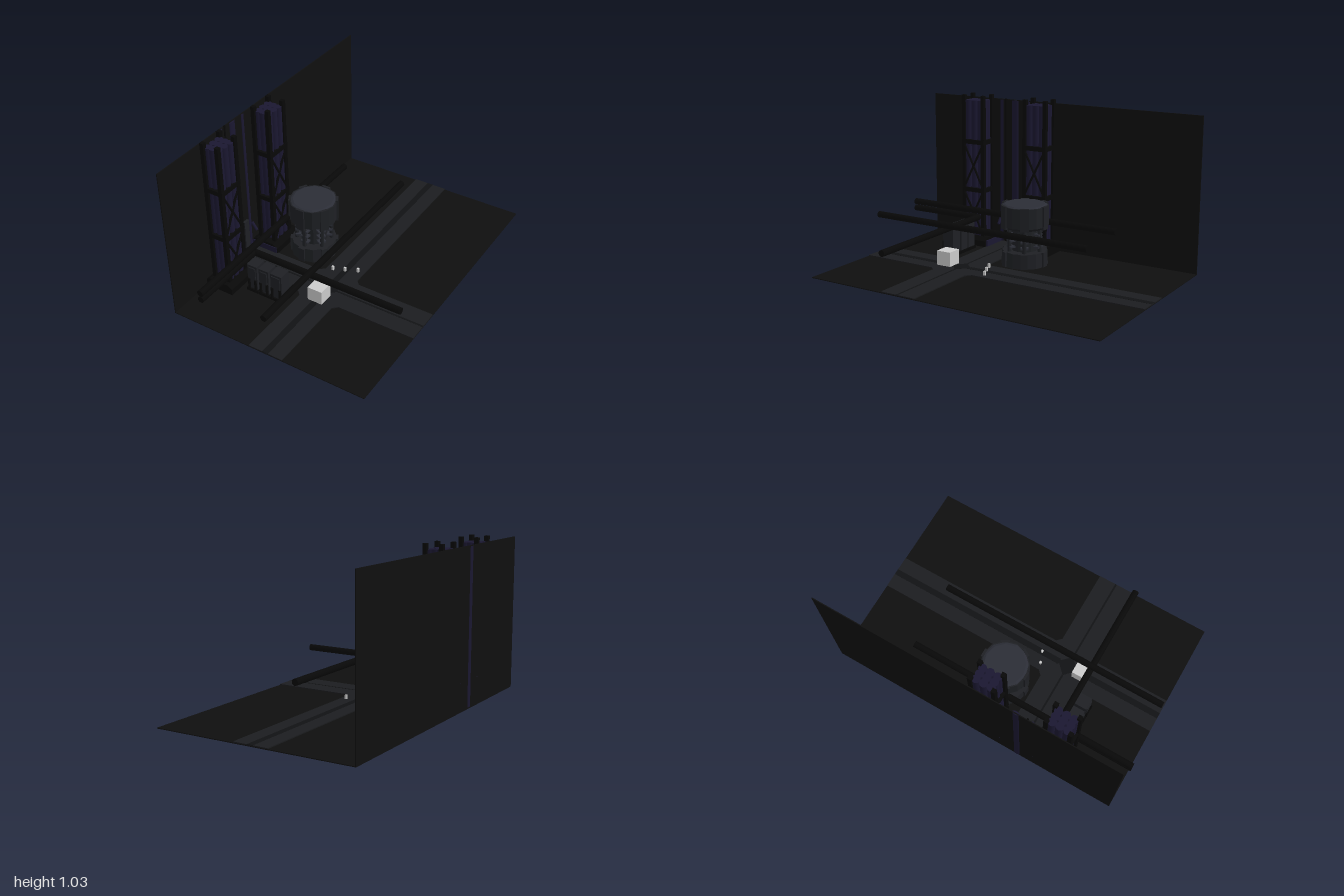
import * as THREE from 'three';

const mat = (color) => new THREE.MeshStandardMaterial({ color });
const flat = (color) => { const m = mat(color); m.flatShading = true; return m; };
const ground = mat(0x0f0f0f), black = mat(0x080808), road = mat(0x1b1c1f), seam = mat(0x111214);
const purple = mat(0x1a1730), steel = flat(0x1e2024), lid = flat(0x2b2d36), grey = mat(0xcccccc);

function add(parent, name, geo, material, x = 0, y = 0, z = 0) {
  const m = new THREE.Mesh(geo, material);
  m.name = name;
  m.position.set(x, y, z);
  parent.add(m);
  return m;
}
// box given by its minimum and maximum corners
function box(parent, name, a, b, material) {
  return add(parent, name, new THREE.BoxGeometry(b[0] - a[0], b[1] - a[1], b[2] - a[2]), material,
    (a[0] + b[0]) / 2, (a[1] + b[1]) / 2, (a[2] + b[2]) / 2);
}
// round bar between two points
function bar(parent, name, a, b, r, material, sides = 12) {
  const p = new THREE.Vector3(...a), q = new THREE.Vector3(...b);
  const d = q.clone().sub(p);
  const m = add(parent, name, new THREE.CylinderGeometry(r, r, d.length(), sides), material);
  m.position.copy(p).add(q).multiplyScalar(0.5);
  m.quaternion.setFromUnitVectors(new THREE.Vector3(0, 1, 0), d.normalize());
  return m;
}

function makeTower(zc) {
  const g = new THREE.Group();
  g.name = 'tower';
  g.position.z = zc;
  const x0 = -0.63, x1 = -0.5, h = 0.088, w = 0.026;
  // chamfered foot
  const s = new THREE.Shape([[-0.66, 0], [-0.465, 0], [-0.465, 0.045], [-0.5, 0.068], [-0.63, 0.068], [-0.66, 0.05]]
    .map(([x, y]) => new THREE.Vector2(x, y)));
  add(g, 'towerFoot', new THREE.ExtrudeGeometry(s, { depth: 0.236, bevelEnabled: false }), black, 0, 0, -0.118);
  // corner posts
  for (const x of [x0 + w / 2, x1 - w / 2])
    for (const z of [-h + w / 2, h - w / 2])
      box(g, 'cornerPost', [x - w / 2, 0.05, z - w / 2], [x + w / 2, 1.03, z + w / 2], black);
  // inner tube bundle
  for (let i = -1; i <= 1; i++)
    for (const x of [-0.6, -0.565, -0.53])
      bar(g, 'innerTube', [x, 0.06, i * 0.048], [x, 0.995, i * 0.048], 0.025, purple, 16);
  // hoops
  for (const y of [0.385, 0.715]) box(g, 'hoop', [x0, y - 0.015, -h], [x1 + 0.002, y + 0.015, h], black);
  // cross braces on the open face
  for (const [a, b] of [[0.08, 0.37], [0.4, 0.7]])
    for (const k of [-1, 1])
      bar(g, 'crossBrace', [x1 - 0.006, a, -k * 0.075], [x1 - 0.006, b, k * 0.075], 0.008, black, 6);
  return g;
}

function makeTank() {
  const g = new THREE.Group();
  g.name = 'tank';
  g.position.set(-0.295, 0, 0.03);
  const drum = (name, rt, rb, y0, y1, m, sides = 12) =>
    add(g, name, new THREE.CylinderGeometry(rt, rb, y1 - y0, sides), m, 0, (y0 + y1) / 2, 0);
  drum('tankBase', 0.145, 0.15, 0.005, 0.1, steel);
  drum('tankCore', 0.085, 0.085, 0.1, 0.25, steel);
  drum('tankCollar', 0.15, 0.125, 0.245, 0.265, steel);
  drum('tankUpper', 0.153, 0.153, 0.265, 0.395, steel);
  drum('tankLid', 0.13, 0.145, 0.395, 0.402, lid);
  // ribs on both drums and columns between them
  for (let i = 0; i < 6; i++) {
    const a = (i / 6) * Math.PI * 2;
    const spoke = new THREE.Group();
    spoke.name = 'tankRib';
    spoke.rotation.y = a;
    box(spoke, 'upperRib', [-0.028, 0.25, 0.14], [0.028, 0.4, 0.156], steel);
    box(spoke, 'lowerRib', [-0.022, 0.005, 0.13], [0.022, 0.1, 0.153], steel);
    bar(spoke, 'column', [0, 0.09, 0.11], [0, 0.25, 0.11], 0.014, steel, 8);
    for (const y of [0.13, 0.17, 0.21]) box(spoke, 'columnRung', [-0.025, y - 0.006, 0.08], [0.025, y + 0.006, 0.118], lid);
    g.add(spoke);
  }
  return g;
}

function makeCabinet(x0, x1) {
  const g = new THREE.Group();
  g.name = 'cabinet';
  box(g, 'cabinetBody', [x0, 0.01, 0.5], [x1, 0.2, 0.58], steel);
  box(g, 'cabinetPlinth', [x0 - 0.006, 0.005, 0.494], [x1 + 0.006, 0.025, 0.59], black);
  box(g, 'cabinetDoor', [x0 + 0.01, 0.1, 0.58], [x1 - 0.01, 0.185, 0.586], steel);
  for (const x of [x0 + 0.012, x1 - 0.012]) bar(g, 'cabinetPipe', [x, 0.01, 0.585], [x, 0.1, 0.585], 0.008, black, 8);
  return g;
}

export function createModel() {
  const model = new THREE.Group();
  model.name = 'industrialYard';

  // ground and side wall
  box(model, 'floor', [-0.66, 0, -1], [0.66, 0.005, 0.985], ground);
  box(model, 'wall', [-0.662, 0, -1], [-0.656, 1, 0.985], ground);

  // crossing roads with grooves, chamfered corners and a diamond inlay
  const cross = [[-0.115, -1], [0.115, -1], [0.115, 0.17], [0.145, 0.2], [0.66, 0.2], [0.66, 0.44], [0.145, 0.44], [0.115, 0.47],
    [0.115, 0.985], [-0.115, 0.985], [-0.115, 0.47], [-0.145, 0.44], [-0.656, 0.44], [-0.656, 0.2], [-0.145, 0.2], [-0.115, 0.17]];
  const shape = new THREE.Shape(cross.map(([x, z]) => new THREE.Vector2(x, -z)));
  add(model, 'roads', new THREE.ExtrudeGeometry(shape, { depth: 0.007, bevelEnabled: false }), road, 0, 0.004, 0).rotation.x = -Math.PI / 2;
  for (const [a, b] of [[-1, 0.26], [0.39, 0.985]]) box(model, 'roadGroove', [-0.02, 0.009, a], [0.02, 0.0118, b], seam);
  for (const [a, b] of [[-0.656, -0.07], [0.07, 0.66]]) box(model, 'roadGroove', [a, 0.009, 0.316], [b, 0.0118, 0.328], seam);
  add(model, 'diamondInlay', new THREE.CylinderGeometry(0.07, 0.07, 0.003, 4), seam, 0, 0.0105, 0.322);

  model.add(makeTower(0.565), makeTower(0.088), makeTank());

  // gate between the towers: wall tubes and glowing edge strips
  for (const [z, r] of [[0.325, 0.025], [0.43, 0.012], [0.225, 0.012]]) {
    const t = bar(model, 'wallTube', [-0.656, 0.01, z], [-0.656, 0.995, z], r, purple, 16);
    t.scale.x = 0.4;
  }
  box(model, 'wallCable', [-0.658, 0.01, 0.392], [-0.65, 1.005, 0.402], black);
  for (const z of [0.205, 0.437]) {
    box(model, 'edgeStrip', [-0.656, 0.005, z - 0.006], [-0.47, 0.05, z + 0.006], purple);
    bar(model, 'wallStrut', [-0.656, 0.185, z], [-0.62, 0.135, z], 0.01, purple, 8);
  }
  box(model, 'wallPanel', [-0.656, 0.01, 0.255], [-0.64, 0.24, 0.298], steel);

  // cabinets under the cross pipe
  for (const [a, b] of [[-0.415, -0.345], [-0.33, -0.26], [-0.245, -0.165]]) model.add(makeCabinet(a, b));

  // overhead pipes
  const r = 0.021;
  bar(model, 'centrePipe', [0, 0.265, -0.575], [0, 0.265, 0.98], r, black, 16);
  bar(model, 'sidePipeUpper', [-0.43, 0.265, -0.55], [-0.43, 0.265, 1], r, black, 16);
  bar(model, 'sidePipeLower', [-0.43, 0.22, 0.48], [-0.43, 0.22, 1], r, black, 16);
  bar(model, 'crossPipe', [-0.43, 0.22, 0.48], [0.597, 0.22, 0.48], r, black, 16);
  add(model, 'pipeElbow', new THREE.SphereGeometry(r, 16, 10), black, -0.43, 0.22, 0.48);

  // crate and small markers
  box(model, 'crate', [-0.05, 0.006, 0.375], [0.05, 0.105, 0.475], grey);
  for (const [x, z] of [[-0.073, 0.158], [0, 0.13], [0.075, 0.095]])
    box(model, 'marker', [x - 0.007, 0.011, z - 0.007], [x + 0.007, 0.038, z + 0.007], grey);

  return model;
}
